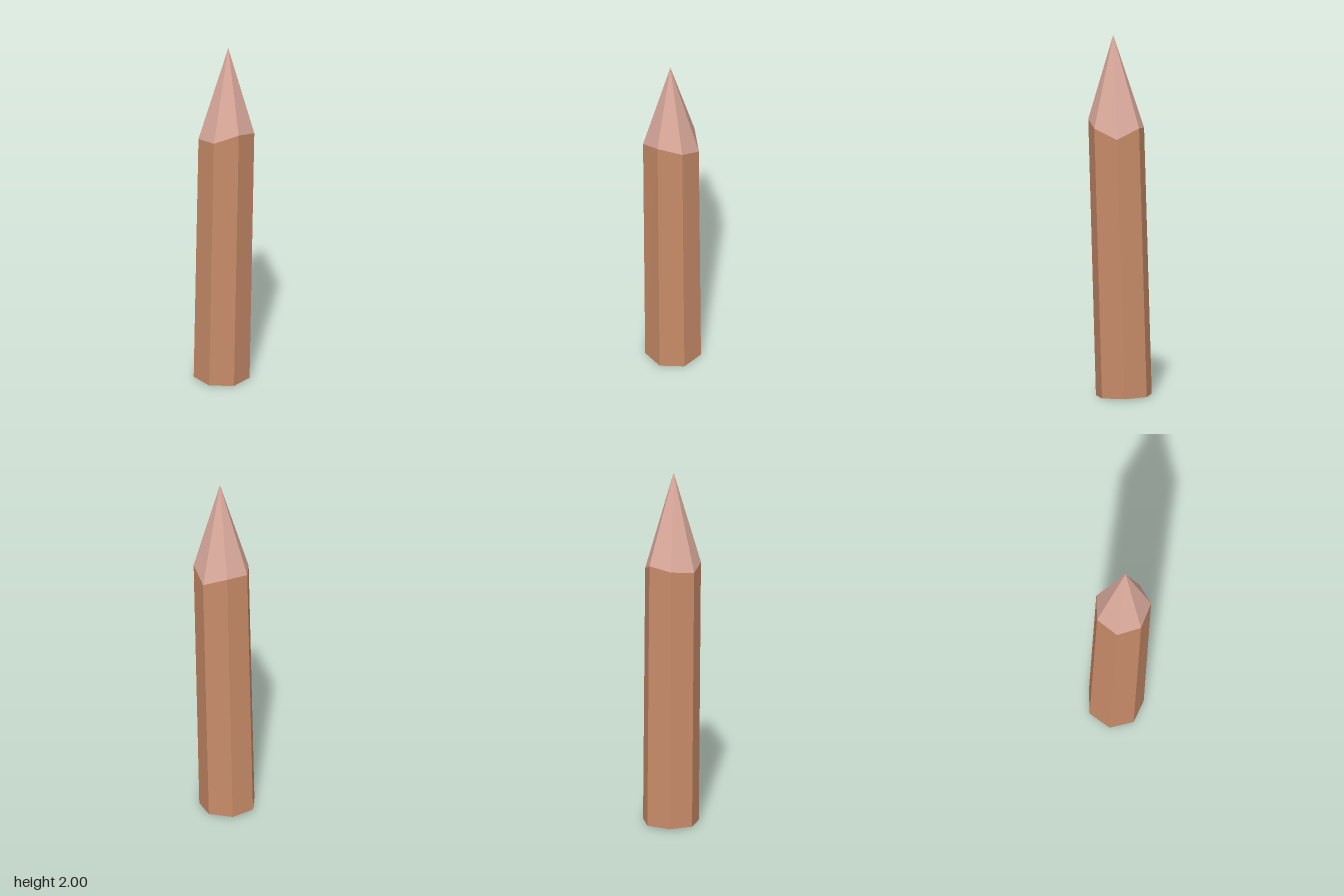
import * as THREE from 'three';

const SIDES = 7;
const RADIUS = 0.157;
const CENTRE_Z = 0.0055;
// uneven height of the shoulder where the point begins, one per corner
const SHOULDER = [1.48, 1.53, 1.495, 1.44, 1.495, 1.48, 1.46];

// seven-sided ring around (cx, CENTRE_Z); height(i, x) gives each corner's y
function ring(cx, height) {
  return Array.from({ length: SIDES }, (_, i) => {
    const a = (Math.PI / SIDES) * (1 + 2 * i);
    const x = cx + RADIUS * Math.sin(a);
    return new THREE.Vector3(x, height(i, x), CENTRE_Z + RADIUS * Math.cos(a));
  });
}

// flat-shaded mesh from a list of triangle corners
function facetedMesh(name, points, color) {
  const geometry = new THREE.BufferGeometry().setFromPoints(points);
  geometry.computeVertexNormals();
  const mesh = new THREE.Mesh(geometry, new THREE.MeshStandardMaterial({ color, flatShading: true }));
  mesh.name = name;
  return mesh;
}

export function createModel() {
  const group = new THREE.Group();
  group.name = 'sharpenedStake';

  // the stake leans slightly to +x, its foot is cut square to the lean
  const foot = ring(-0.022, (i, x) => Math.max(0, 0.028 * (0.132 - x)));
  const shoulder = ring(0.02, (i) => SHOULDER[i]);
  const footCentre = new THREE.Vector3(-0.022, 0.0043, CENTRE_Z);
  const apex = new THREE.Vector3(0.037, 2, 0.006);

  const shaft = [];
  const point = [];
  for (let i = 0; i < SIDES; i++) {
    const j = (i + 1) % SIDES;
    shaft.push(foot[i], foot[j], shoulder[j], foot[i], shoulder[j], shoulder[i]);
    shaft.push(footCentre, foot[j], foot[i]);
    point.push(shoulder[i], shoulder[j], apex);
  }

  group.add(facetedMesh('shaft', shaft, 0xc98c69));
  group.add(facetedMesh('sharpenedPoint', point, 0xdcab9d));
  return group;
}
